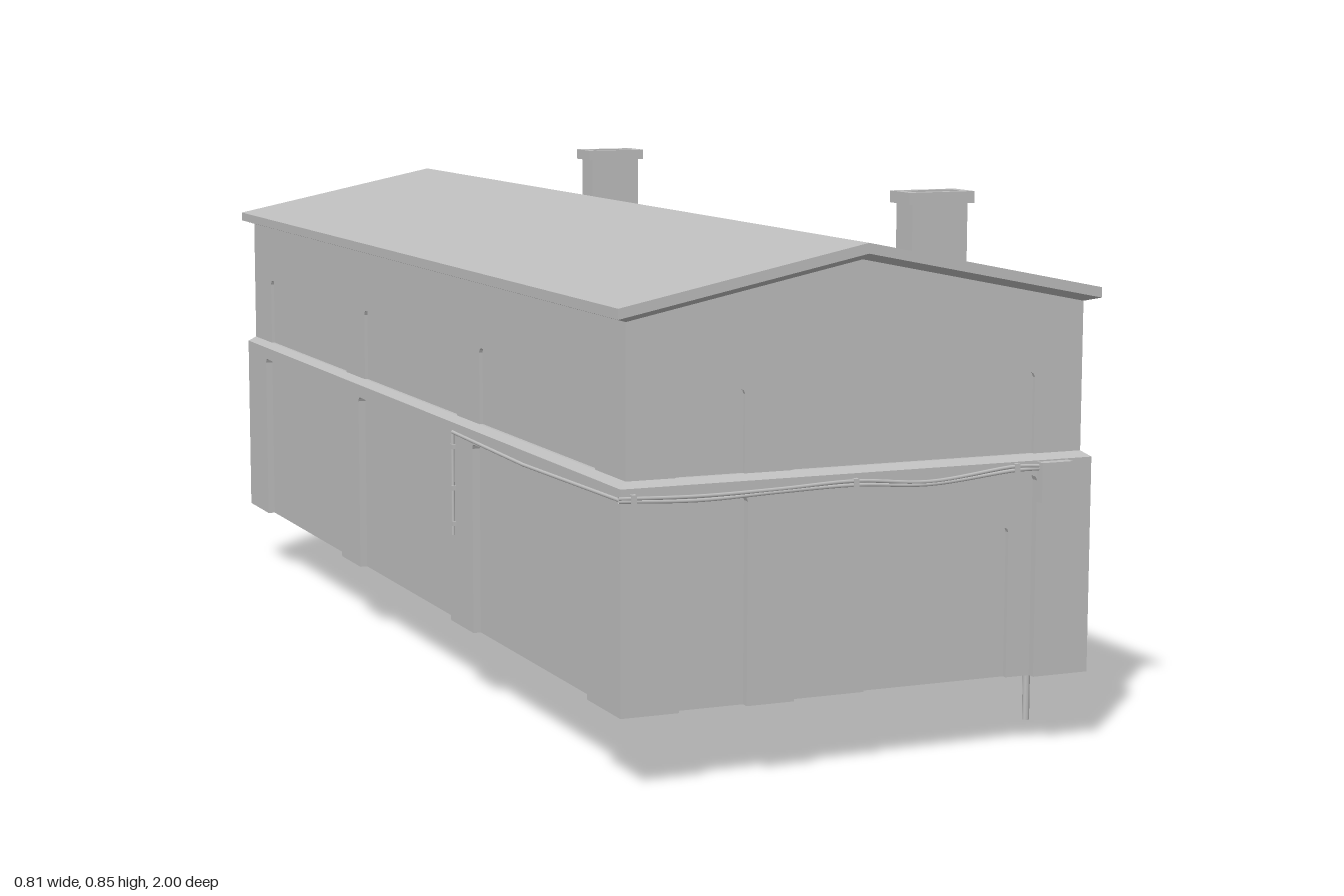
import * as THREE from 'three';
import { mergeGeometries } from 'three/addons/utils/BufferGeometryUtils.js';

const CX = -0.009, CZ = -0.004;          // centre of the building shell
const LOW = [0.394, 0.988], UP = [0.381, 0.976], EAVE = [0.401, 0.996]; // half width, half length
const grey = new THREE.MeshStandardMaterial({ color: 0xbfbfbf, side: THREE.DoubleSide });
grey.name = 'plainGrey';

function add(parent, name, geometry) {
  const m = new THREE.Mesh(geometry, grey);
  m.name = name;
  parent.add(m);
  return m;
}

// Flat-shaded skin from quads given as corner lists
function quads(list) {
  const pos = [];
  for (const [a, b, c, d] of list) for (const p of [a, b, c, a, c, d]) pos.push(...p);
  const g = new THREE.BufferGeometry();
  g.setAttribute('position', new THREE.Float32BufferAttribute(pos, 3));
  g.computeVertexNormals();
  return g;
}

// Quads joining closed loops, bottom to top
function loftQuads(loops) {
  const out = [];
  for (let k = 0; k < loops.length - 1; k++) {
    const a = loops[k], b = loops[k + 1], n = a.length;
    for (let i = 0; i < n; i++) out.push([a[i], a[(i + 1) % n], b[(i + 1) % n], b[i]]);
  }
  return out;
}

const rectLoop = (w, l, y) => [[-w, y, l], [w, y, l], [w, y, -l], [-w, y, -l]];
const gableLoop = (w, l, eave, ridge) =>
  [[-w, eave, l], [0, ridge, l], [w, eave, l], [w, eave, -l], [0, ridge, -l], [-w, eave, -l]];

// Doorway-like outline, open at the bottom, with softened top corners
function archPoints({ x0, x1, top }, yb) {
  const r = 0.008, pts = [[x0, yb]];
  for (const t of [0, 0.5, 1]) {
    const a = t * Math.PI / 2;
    pts.push([x0 + r - r * Math.cos(a), top - r + r * Math.sin(a)]);
  }
  for (const t of [0, 0.5, 1]) {
    const a = t * Math.PI / 2;
    pts.push([x1 - r + r * Math.sin(a), top - r + r * Math.cos(a)]);
  }
  pts.push([x1, yb]);
  return pts;
}

// Wall face with recessed panels; panels may hold deeper panels
function wallFace(parent, name, outline, yb, z, panels) {
  const pts = [outline[0]];
  for (const p of panels) pts.push(...archPoints(p, yb));
  pts.push(...outline.slice(1).reverse());
  const face = new THREE.ShapeGeometry(new THREE.Shape(pts.map(p => new THREE.Vector2(...p))));
  add(parent, name, face.translate(0, 0, z));
  for (const p of panels) {
    const a = archPoints(p, yb), zb = z - p.depth;
    add(parent, 'panelReveal', quads(a.slice(1).map((q, i) =>
      [[...a[i], z], [...a[i], zb], [...q, zb], [...q, z]])));
    wallFace(parent, p.name, a, yb, zb, p.inner || []);
  }
}

// Straight pipe runs with round elbows
function pipe(parent, name, points, r) {
  const v = points.map(p => new THREE.Vector3(...p)), parts = [];
  const up = new THREE.Vector3(0, 1, 0);
  for (let i = 0; i < v.length - 1; i++) {
    const d = v[i + 1].clone().sub(v[i]);
    const c = new THREE.CylinderGeometry(r, r, d.length(), 8);
    c.applyQuaternion(new THREE.Quaternion().setFromUnitVectors(up, d.normalize()));
    const mid = v[i].clone().add(v[i + 1]).multiplyScalar(0.5);
    parts.push(c.translate(mid.x, mid.y, mid.z));
    if (i > 0) parts.push(new THREE.SphereGeometry(r * 1.05, 8, 6).translate(v[i].x, v[i].y, v[i].z));
  }
  return add(parent, name, mergeGeometries(parts));
}

function box(parent, name, x0, x1, y0, y1, z0, z1) {
  add(parent, name, new THREE.BoxGeometry(x1 - x0, y1 - y0, z1 - z0)
    .translate((x0 + x1) / 2, (y0 + y1) / 2, (z0 + z1) / 2));
}

export function createModel() {
  const model = new THREE.Group();
  model.name = 'building';
  const shell = new THREE.Group();
  shell.name = 'shell';
  shell.position.set(CX, 0, CZ);
  model.add(shell);

  // Four walls, each with a lower and an upper storey
  const endBays = [[-0.301, -0.191], [-0.113, 0.298]];
  const sideBays = [[-0.859, -0.361], [-0.251, 0.249], [0.361, 0.859]];
  const mirror = list => list.map(([a, b]) => [-b, -a]).reverse();
  const walls = [
    { name: 'front', turn: 0, end: true, bays: endBays, door: [0.01, 0.257] },
    { name: 'back', turn: Math.PI, end: true, bays: mirror(endBays), door: [-0.257, -0.01] },
    { name: 'left', turn: -Math.PI / 2, bays: mirror(sideBays) },
    { name: 'right', turn: Math.PI / 2, bays: sideBays },
  ];
  for (const { name, turn, end, bays, door } of walls) {
    const g = new THREE.Group();
    g.name = name + 'Wall';
    g.rotation.y = turn;
    shell.add(g);
    const [w, d] = end ? LOW : [LOW[1], LOW[0]];
    const [uw, ud] = end ? UP : [UP[1], UP[0]];
    const lower = bays.map(([x0, x1]) => ({
      name: 'lowerPanel', x0, x1, top: 0.436, depth: 0.013,
      inner: door && door[0] > x0 && door[1] < x1
        ? [{ name: 'door', x0: door[0], x1: door[1], top: 0.356, depth: 0.008 }] : [],
    }));
    const upper = bays.map(([x0, x1]) => ({ name: 'upperPanel', x0, x1, top: 0.594, depth: 0.006 }));
    wallFace(g, 'lowerWall', [[-w, 0.12], [-w, 0.459], [w, 0.459], [w, 0.12]], 0.12, d, lower);
    const top = end ? [[-uw, 0.7], [0, 0.777], [uw, 0.7]] : [[-uw, 0.7], [uw, 0.7]];
    wallFace(g, 'upperWall', [[-uw, 0.468], ...top, [uw, 0.468]], 0.468, ud, upper);
  }

  // Sloping ledge between the storeys
  add(shell, 'ledge', quads(loftQuads([
    rectLoop(...LOW, 0.459), rectLoop(...UP, 0.468), rectLoop(UP[0] - 0.006, UP[1] - 0.006, 0.468)])));

  // Gabled roof with bevelled eaves
  const rim = gableLoop(...EAVE, 0.722, 0.803);
  add(shell, 'roof', quads([
    ...loftQuads([gableLoop(...UP, 0.7, 0.777), gableLoop(...EAVE, 0.706, 0.787), rim]),
    [rim[0], rim[1], rim[4], rim[5]], [rim[1], rim[2], rim[3], rim[4]]]));

  // Chimneys with a projecting, hollow cap
  for (const z of [0.663, -0.688]) {
    const floor = rectLoop(0.043, 0.018, 0.8);
    const c = add(model, 'chimney', quads([...loftQuads([
      rectLoop(0.05, 0.027, 0.733), rectLoop(0.05, 0.027, 0.833), rectLoop(0.059, 0.033, 0.833),
      rectLoop(0.059, 0.033, 0.852), rectLoop(0.043, 0.018, 0.852), floor]), floor]));
    c.position.set(0.276, 0, z);
  }

  // Pipe frames in the right-hand bays
  const px = 0.378, pr = 0.006;
  const frames = [
    { a: [0.815, 0.005, 0.42], b: [0.448, 0.025, 0.432], mid: 0.61, ya: 0.338, yb: 0.19 },
    { a: [-0.448, 0.015, 0.425], b: [-0.813, 0.025, 0.432], mid: -0.615, ya: 0.165, yb: 0.312 },
  ];
  for (const { a, b, mid, ya, yb } of frames) {
    for (const [z, y0, y1] of [a, b]) {
      pipe(model, 'standPipe', [[px, y0, z], [px, y1, z], [px - 0.008, y1 + 0.004, z]], pr);
    }
    pipe(model, 'linkPipe', [[px, ya, a[0]], [px, ya, mid], [px, yb, mid], [px, yb, b[0]]], 0.005);
  }

  // Twin risers on the right-hand pier
  pipe(model, 'riser', [[0.396, 0.075, 0.312], [0.396, 0.595, 0.312], [0.37, 0.605, 0.312]], 0.006);
  pipe(model, 'riser', [[0.392, 0.12, 0.277], [0.392, 0.64, 0.277], [0.37, 0.648, 0.277]], 0.006);

  // Vent pipe stepping out around the ledge
  pipe(model, 'ventPipe', [[0.392, 0.128, 0.883], [0.392, 0.42, 0.883], [0.397, 0.46, 0.883],
    [0.381, 0.52, 0.883], [0.381, 0.58, 0.883], [0.386, 0.61, 0.883], [0.386, 0.665, 0.883]], 0.005);
  add(model, 'ventCap', new THREE.CylinderGeometry(0.008, 0.008, 0.008, 8).translate(0.386, 0.669, 0.883));
  for (const y of [0.13, 0.35, 0.6, 0.64]) {
    const x = y < 0.5 ? 0.392 : 0.385;
    box(model, 'ventBracket', x - 0.014, x + 0.007, y - 0.004, y + 0.004, 0.875, 0.891);
  }

  // Junction box and sagging cables along the front
  box(model, 'junctionBox', 0.289, 0.343, 0.395, 0.457, 0.98, 1.0);
  const sag = [[-0.408, 0.444], [-0.28, 0.439], [-0.15, 0.442], [-0.025, 0.445], [0.1, 0.437], [0.25, 0.45], [0.292, 0.449]];
  for (const lift of [-0.003, 0.003]) {
    const curve = new THREE.CatmullRomCurve3(sag.map(([x, y], i) =>
      new THREE.Vector3(x, y + lift * (i % 2 ? 1 : 0.7), 0.988)));
    add(model, 'frontCable', new THREE.TubeGeometry(curve, 40, 0.003, 6));
  }
  for (const [x, y] of [sag[0], sag[3], sag[5]].map(([x, y]) => [Math.max(x, -0.385), y])) {
    box(model, 'cableClip', x - 0.004, x + 0.004, y - 0.007, y + 0.007, 0.98, 0.993);
  }

  // Cable continuing along the left side, with its drop
  pipe(model, 'sideCable', [[-0.406, 0.444, 0.988], [-0.406, 0.438, 0.6], [-0.406, 0.444, 0.27], [-0.406, 0.27, 0.27]], 0.003);
  for (const y of [0.29, 0.35, 0.42]) box(model, 'cableClip', -0.409, -0.402, y - 0.004, y + 0.004, 0.264, 0.276);

  // Short rail on the back upper wall
  pipe(model, 'backRail', [[-0.03, 0.64, -0.987], [-0.29, 0.64, -0.987]], 0.004);
  for (const x of [-0.06, -0.16, -0.26]) box(model, 'railBracket', x - 0.004, x + 0.004, 0.636, 0.644, -0.987, -0.978);

  return model;
}
